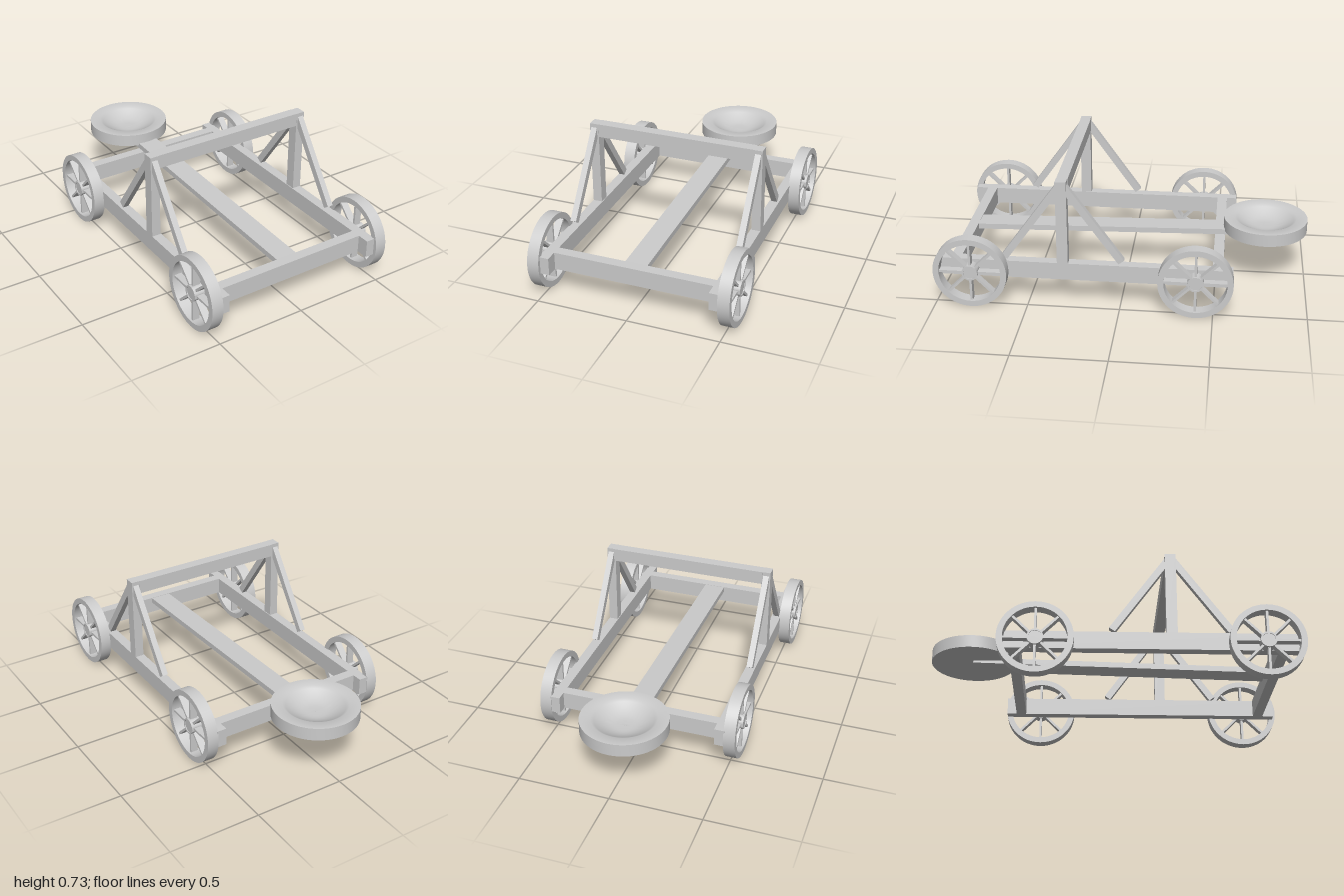
import * as THREE from 'three';
import { toCreasedNormals } from 'three/addons/utils/BufferGeometryUtils.js';

const material = new THREE.MeshStandardMaterial({ color: 0xcccccc });

function add(parent, name, geometry, x = 0, y = 0, z = 0) {
  const mesh = new THREE.Mesh(geometry, material);
  mesh.name = name;
  mesh.position.set(x, y, z);
  parent.add(mesh);
  return mesh;
}

const box = (w, h, d) => new THREE.BoxGeometry(w, h, d);

// Solid of revolution with crisp profile corners
function turned(points) {
  const profile = points.map(([r, y]) => new THREE.Vector2(r, y));
  return toCreasedNormals(new THREE.LatheGeometry(profile, 64), 0.6);
}

// Hollow ring turned about the x axis
const ring = (inner, outer, half) => turned([
  [inner, -half], [outer, -half], [outer, half], [inner, half], [inner, -half],
]).rotateZ(Math.PI / 2);

function createWheel() {
  const wheel = new THREE.Group();
  wheel.name = 'wheel';
  add(wheel, 'rim', ring(0.168, 0.2, 0.032));
  add(wheel, 'hubRing', ring(0.034, 0.043, 0.032));
  add(wheel, 'axleEnd', new THREE.CylinderGeometry(0.035, 0.035, 0.056, 32).rotateZ(Math.PI / 2));
  for (let i = 0; i < 8; i++) {
    const spoke = box(0.04, 0.134, 0.013).translate(0, 0.105, 0);
    add(wheel, 'spoke', spoke).rotation.x = i * Math.PI / 4;
  }
  return wheel;
}

export function createModel() {
  const model = new THREE.Group();
  model.name = 'catapult';

  // Base frame
  for (const z of [0.887, -0.518]) add(model, 'crossBeam', box(0.88, 0.097, 0.056), 0, 0.209, z);

  for (const side of [1, -1]) {
    add(model, 'sideRail', box(0.054, 0.097, 1.581), side * 0.46, 0.209, 0.19);

    // Upright with a diagonal brace on each side
    add(model, 'post', box(0.05, 0.49, 0.059), side * 0.462, 0.483, 0.306);
    for (const dir of [1, -1]) {
      const brace = add(model, 'brace', box(0.033, 0.52, 0.038),
        side * 0.463, 0.487, 0.306 + dir * 0.163);
      brace.rotation.x = -dir * 0.62;
    }

    // Wheels
    for (const z of [0.8, -0.405]) {
      const wheel = createWheel();
      wheel.position.set(side * 0.514, 0.2, z);
      model.add(wheel);
    }
  }
  add(model, 'topBeam', box(0.88, 0.074, 0.06), 0, 0.691, 0.304);

  // Throwing arm, rising gently to the rear
  add(model, 'throwingArm', box(0.121, 0.031, 1.635), 0, 0.261, 0.052).rotation.x = 0.026;

  // Shallow bowl
  const dish = [[0, 0.28], [0.232, 0.28], [0.232, 0.35], [0.172, 0.35]];
  for (let i = 1; i <= 8; i++) {
    const t = i / 8;
    dish.push([0.172 - 0.132 * t, 0.35 - 0.052 * Math.sin(t * Math.PI / 2)]);
  }
  dish.push([0, 0.297]);
  add(model, 'bowl', turned(dish), -0.005, 0, -0.768);

  return model;
}
